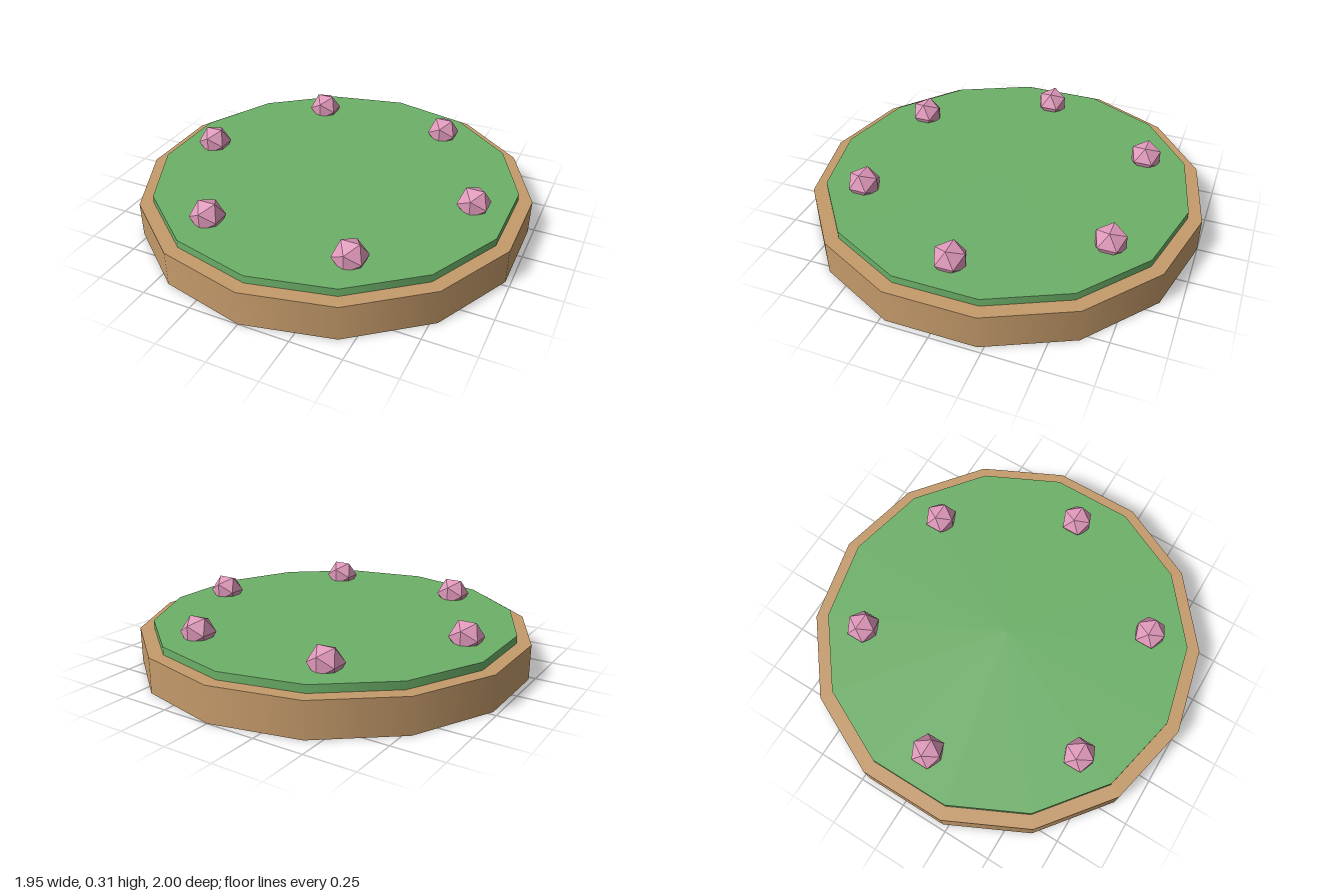
import * as THREE from 'three';

const earth = new THREE.MeshStandardMaterial({ name: 'earthBrown', color: 0xc49a6a });
const grass = new THREE.MeshStandardMaterial({ name: 'grassGreen', color: 0x6cb068 });
const petal = new THREE.MeshStandardMaterial({ name: 'blossomPink', color: 0xdf98ba });
petal.flatShading = true;

export function createModel() {
  const group = new THREE.Group();
  group.name = 'flowerIsland';

  // Fourteen-sided disc spanning two heights
  function disc(name, radius, bottom, top, material) {
    const mesh = new THREE.Mesh(new THREE.CylinderGeometry(radius, radius, top - bottom, 14), material);
    mesh.name = name;
    mesh.position.y = (bottom + top) / 2;
    group.add(mesh);
  }
  disc('earthBase', 1, 0, 0.177, earth);
  disc('grassTop', 0.93, 0.177, 0.216, grass);

  // Ring of six faceted blossoms, half sunk in the grass
  const blossomGeometry = new THREE.IcosahedronGeometry(0.087, 0);
  for (let i = 0; i < 6; i++) {
    const angle = (i / 6) * Math.PI * 2;
    const blossom = new THREE.Mesh(blossomGeometry, petal);
    blossom.name = `blossom${i + 1}`;
    blossom.position.set(Math.cos(angle) * 0.735, 0.24, Math.sin(angle) * 0.735);
    group.add(blossom);
  }
  return group;
}
